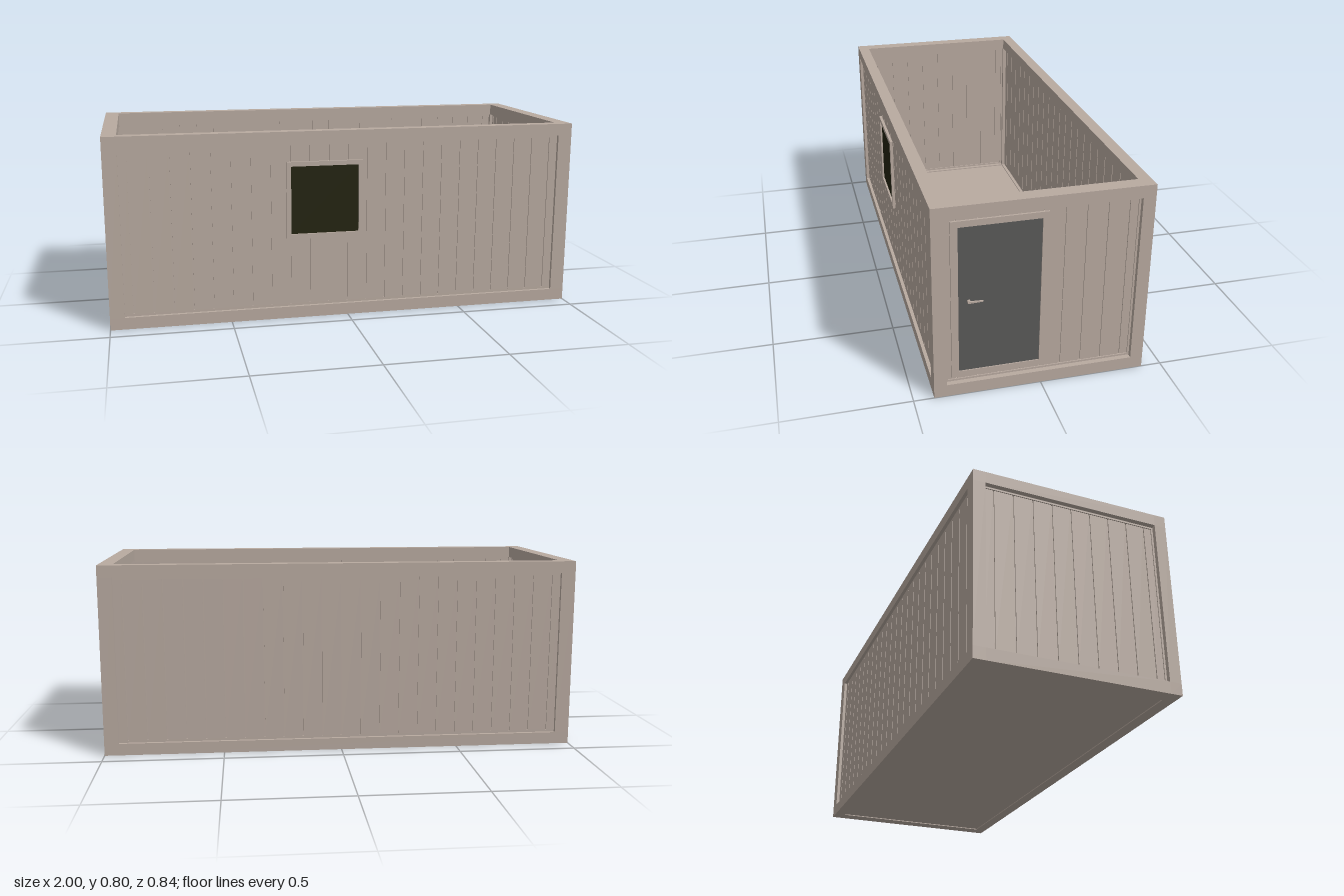
import * as THREE from 'three';

const tan = new THREE.MeshStandardMaterial({ color: 0xb8aaa0 });
tan.name = 'beige paint';
const grey = new THREE.MeshStandardMaterial({ color: 0x5a5958 });
grey.name = 'dark grey door';
const dark = new THREE.MeshStandardMaterial({ color: 0x22220e });
dark.name = 'dark glass';

const HX = 1, HY = 0.8, HZ = 0.42;      // overall half length, height, half depth
const PX = 0.06, PZ = 0.05, BEAM = 0.05; // post and beam sizes
const PITCH = 0.082, GROOVE = 0.005;

// Box given by its minimum and maximum corners
function box(parent, name, mat, [x0, y0, z0], [x1, y1, z1]) {
  const mesh = new THREE.Mesh(new THREE.BoxGeometry(x1 - x0, y1 - y0, z1 - z0), mat);
  mesh.position.set((x0 + x1) / 2, (y0 + y1) / 2, (z0 + z1) / 2);
  mesh.name = name;
  parent.add(mesh);
  return mesh;
}

// Rectangular surround with an opening, extruded from z0 to z1
function surround(parent, name, [x0, y0, x1, y1], [u0, v0, u1, v1], z0, z1) {
  const rect = (C, a, b, c, d) => {
    const p = new C();
    p.moveTo(a, b); p.lineTo(c, b); p.lineTo(c, d); p.lineTo(a, d); p.closePath();
    return p;
  };
  const shape = rect(THREE.Shape, x0, y0, x1, y1);
  shape.holes.push(rect(THREE.Path, u0, v0, u1, v1));
  const mesh = new THREE.Mesh(new THREE.ExtrudeGeometry(shape, { depth: z1 - z0, bevelEnabled: false }), tan);
  mesh.position.z = z0;
  mesh.name = name;
  parent.add(mesh);
}

// Wall in its own frame: outside faces +z, planks divided by narrow grooves on both sides
function wall(name, half, count) {
  const g = new THREE.Group();
  g.name = name;
  const t = 0.01;
  box(g, 'wallCore', tan, [-half, 0.05, -0.005], [half, 0.75, 0.005]);
  const cuts = [];
  for (let k = -count; k <= count; k++) cuts.push(k * PITCH);
  let left = -half;
  for (const c of [...cuts, half + GROOVE / 2]) {
    box(g, 'plank', tan, [left, 0.06, -t], [c - GROOVE / 2, 0.74, t]);
    left = c + GROOVE / 2;
  }
  box(g, 'bottomRail', tan, [-half, 0.05, -t], [half, 0.06, t]);
  box(g, 'topRail', tan, [-half, 0.74, -t], [half, 0.75, t]);
  return g;
}

export function createModel() {
  const model = new THREE.Group();
  model.name = 'container';

  // Frame of posts and beams
  const frame = new THREE.Group();
  frame.name = 'frame';
  model.add(frame);
  for (const sx of [-1, 1]) {
    const xa = sx > 0 ? HX - PX : -HX, xb = xa + PX;
    for (const sz of [-1, 1]) {
      const za = sz > 0 ? HZ - PZ : -HZ;
      box(frame, 'cornerPost', tan, [xa, BEAM, za], [xb, HY - BEAM, za + PZ]);
    }
    for (const y of [0, HY - BEAM])
      box(frame, 'endBeam', tan, [xa, y, -HZ + PZ], [xb, y + BEAM, HZ - PZ]);
  }
  for (const sz of [-1, 1])
    for (const y of [0, HY - BEAM]) {
      const za = sz > 0 ? HZ - PZ : -HZ;
      box(frame, 'longBeam', tan, [-HX, y, za], [HX, y + BEAM, za + PZ]);
    }
  box(model, 'floor', tan, [-HX + PX, 0.004, -HZ + PZ], [HX - PX, 0.045, HZ - PZ]);

  // Four walls
  const front = wall('frontWall', HX - PX, 11);
  front.position.z = 0.396;
  const back = wall('backWall', HX - PX, 11);
  back.position.z = -0.396;
  back.rotation.y = Math.PI;
  const leftEnd = wall('doorWall', HZ - PZ, 4);
  leftEnd.position.x = 0.968;
  leftEnd.rotation.y = Math.PI / 2;
  const rightEnd = wall('plainEndWall', HZ - PZ, 4);
  rightEnd.position.x = -0.968;
  rightEnd.rotation.y = -Math.PI / 2;
  model.add(front, back, leftEnd, rightEnd);

  // Slim trim around the end panels
  for (const end of [leftEnd, rightEnd])
    surround(end, 'panelTrim', [-0.37, 0.052, 0.37, 0.748], [-0.362, 0.06, 0.362, 0.74], -0.014, 0.014);

  // Window: blank box on the inside, framed glass on the outside
  box(front, 'windowBack', tan, [-0.262, 0.347, -0.022], [0.065, 0.673, 0.011]);
  surround(front, 'windowFrame', [-0.262, 0.347, 0.065, 0.673], [-0.243, 0.366, 0.046, 0.654], 0.011, 0.022);
  box(front, 'windowGlass', dark, [-0.243, 0.366, 0.011], [0.046, 0.654, 0.014]);

  // Door with its surround, leaf and handles
  const door = new THREE.Group();
  door.name = 'door';
  leftEnd.add(door);
  surround(door, 'doorFrame', [-0.348, 0.07, 0.02, 0.733], [-0.32, 0.095, -0.005, 0.708], -0.018, 0.018);
  box(door, 'doorLeaf', grey, [-0.32, 0.095, -0.014], [-0.005, 0.708, 0.014]);
  for (const s of [-1, 1]) {
    const stem = box(door, 'handleStem', tan, [-0.286, 0.395, -0.007], [-0.276, 0.405, 0.007]);
    stem.position.z = s * 0.019;
    const lever = box(door, 'handleLever', tan, [-0.286, 0.396, -0.003], [-0.228, 0.404, 0.003]);
    lever.position.z = s * 0.026;
    // Taper the free end of the lever
    const p = lever.geometry.attributes.position;
    for (let i = 0; i < p.count; i++) if (p.getX(i) > 0) p.setY(i, p.getY(i) * 0.5);
    lever.geometry.computeVertexNormals();
  }
  return model;
}
